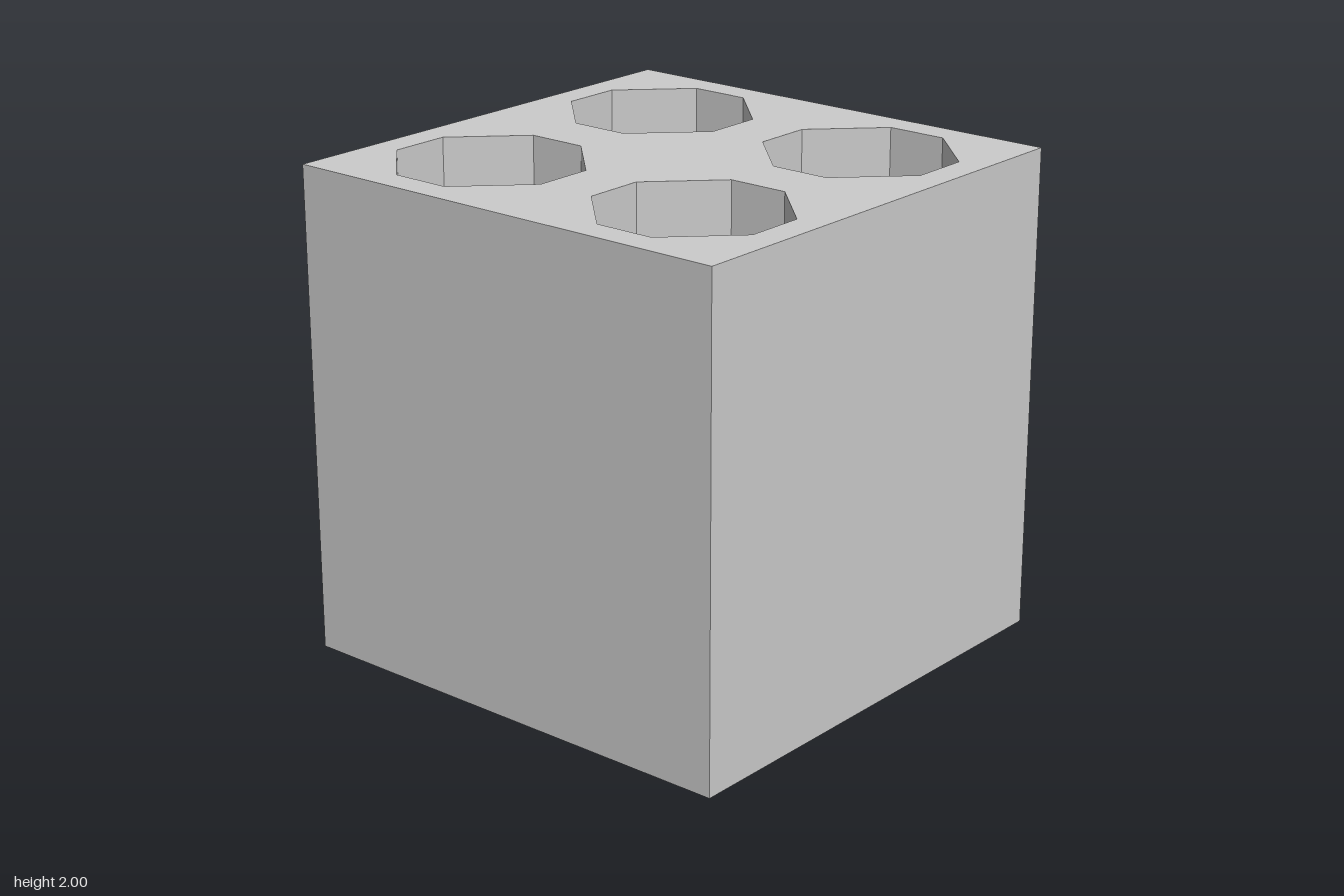
import * as THREE from 'three';

const SIZE = 2;          // edge of the cube
const HOLE = 0.375;      // half width of a hole
const FLAT = 0.125;      // half length of its axis-aligned sides

// Eight-sided outline of one hole, centred on (cx, cy)
function octagon(cx, cy) {
  const corners = [
    [HOLE, -FLAT], [HOLE, FLAT], [FLAT, HOLE], [-FLAT, HOLE],
    [-HOLE, FLAT], [-HOLE, -FLAT], [-FLAT, -HOLE], [FLAT, -HOLE],
  ];
  return new THREE.Path(corners.map(([x, y]) => new THREE.Vector2(cx + x, cy + y)));
}

export function createModel() {
  const group = new THREE.Group();
  group.name = 'perforatedBlock';

  // Square footprint with a two by two grid of holes
  const h = SIZE / 2;
  const footprint = new THREE.Shape([
    new THREE.Vector2(-h, -h), new THREE.Vector2(h, -h),
    new THREE.Vector2(h, h), new THREE.Vector2(-h, h),
  ]);
  for (const x of [-0.5, 0.5]) {
    for (const y of [-0.5, 0.5]) footprint.holes.push(octagon(x, y));
  }

  // Extruded upwards so the holes run right through
  const geometry = new THREE.ExtrudeGeometry(footprint, { depth: SIZE, bevelEnabled: false });
  geometry.rotateX(-Math.PI / 2);

  const block = new THREE.Mesh(
    geometry,
    new THREE.MeshStandardMaterial({ color: 0xcccccc, flatShading: true }),
  );
  block.name = 'block';
  group.add(block);
  return group;
}
